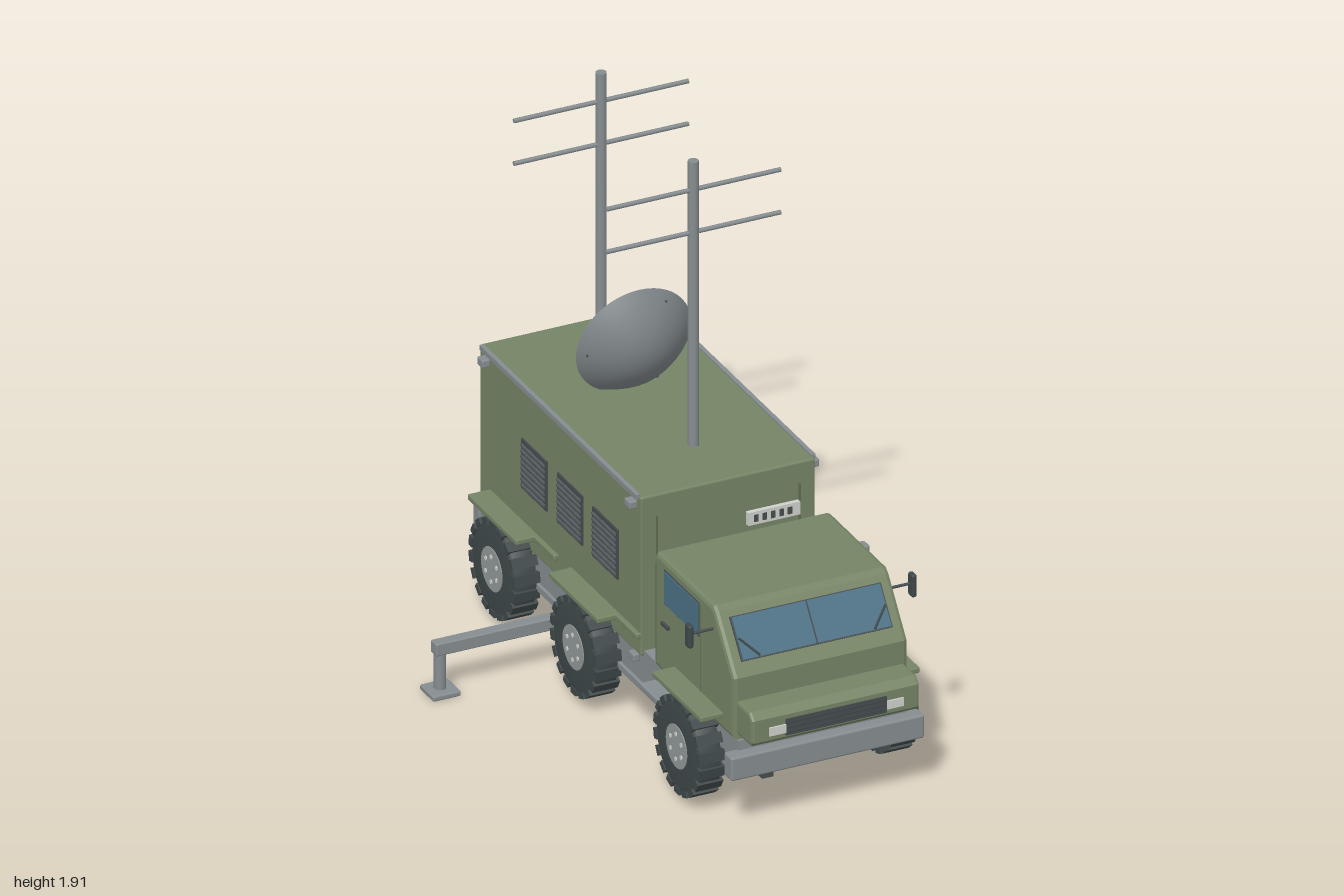
import * as THREE from 'three';
import { RoundedBoxGeometry } from 'three/addons/geometries/RoundedBoxGeometry.js';

const mat = (name, color, side = THREE.FrontSide) => {
  const m = new THREE.MeshStandardMaterial({ color, side });
  m.name = name;
  return m;
};

export function createModel() {
  const olive = mat('olive paint', 0x758465);
  const darkOlive = mat('dark olive', 0x5f6b50);
  const steel = mat('steel grey', 0x868d90);
  const dishGrey = mat('dish grey', 0x7e8588, THREE.DoubleSide);
  const rubber = mat('rubber', 0x3f4849);
  const dark = mat('dark metal', 0x464c4f);
  const louvreGrey = mat('louvre grey', 0x585e61);
  const rimGrey = mat('rim grey', 0x929899);
  const glass = mat('glass', 0x4b7185);
  const lamp = mat('lamp white', 0xcfd1cc);

  const root = new THREE.Group();
  const add = (name, geo, m, x = 0, y = 0, z = 0, parent = root) => {
    const mesh = new THREE.Mesh(geo, m);
    mesh.name = name;
    mesh.position.set(x, y, z);
    parent.add(mesh);
    return mesh;
  };
  // box given by its limits on each axis
  const box = (name, m, [x0, x1], [y0, y1], [z0, z1], r = 0, parent = root) => {
    const s = [x1 - x0, y1 - y0, z1 - z0];
    const geo = r ? new RoundedBoxGeometry(...s, 2, r) : new THREE.BoxGeometry(...s);
    return add(name, geo, m, (x0 + x1) / 2, (y0 + y1) / 2, (z0 + z1) / 2, parent);
  };
  const sideBox = (name, m, [a, b], y, z, r = 0) => {
    box(name + 'Left', m, [a, b], y, z, r);
    box(name + 'Right', m, [-b, -a], y, z, r);
  };
  const rod = (name, m, from, to, r, parent = root, seg = 12) => {
    const a = new THREE.Vector3(...from), d = new THREE.Vector3(...to).sub(a);
    const mesh = add(name, new THREE.CylinderGeometry(r, r, d.length(), seg), m, 0, 0, 0, parent);
    mesh.position.copy(a).addScaledVector(d, 0.5);
    mesh.quaternion.setFromUnitVectors(new THREE.Vector3(0, 1, 0), d.normalize());
    return mesh;
  };
  // side profile of [z, y] points, extruded across x with a small bevel
  const profile = (name, m, pts, width, b) => {
    const shape = new THREE.Shape(pts.map(p => new THREE.Vector2(...p)));
    const geo = new THREE.ExtrudeGeometry(shape, {
      depth: width - 2 * b, bevelEnabled: true, bevelSize: b, bevelThickness: b, bevelOffset: -b, bevelSegments: 2,
    });
    geo.translate(0, 0, b - width / 2);
    geo.rotateY(-Math.PI / 2);
    return add(name, geo, m);
  };

  // Chassis and bumpers
  box('chassis', steel, [-0.3, 0.3], [0.2, 0.32], [-0.96, 0.9]);
  box('underFloor', steel, [-0.29, 0.29], [0.175, 0.2], [-0.96, 0.88]);
  box('frontBumper', steel, [-0.345, 0.345], [0.2, 0.285], [0.885, 0.942], 0.008);
  box('rearBumper', steel, [-0.32, 0.32], [0.205, 0.31], [-1, -0.955], 0.008);
  sideBox('sideRail', steel, [0.29, 0.312], [0.178, 0.2], [-0.97, 0.46]);
  sideBox('step', steel, [0.29, 0.37], [0.25, 0.272], [0.32, 0.47], 0.006);
  for (const s of [-1, 1]) box('towHook', dark, [s * 0.21 - 0.02, s * 0.21 + 0.02], [0.18, 0.2], [0.88, 0.93]);

  // Cab
  profile('cab', olive, [[0.31, 0.32], [0.89, 0.32], [0.89, 0.54], [0.755, 0.72], [0.735, 0.735], [0.325, 0.735], [0.31, 0.72]], 0.625, 0.015);
  profile('nose', olive, [[0.88, 0.34], [0.985, 0.34], [1, 0.355], [1, 0.435], [0.975, 0.458], [0.88, 0.458]], 0.6, 0.01);
  box('grille', dark, [-0.18, 0.18], [0.36, 0.42], [0.997, 1.003]);
  for (let i = 0; i < 3; i++) box('grilleBar', rubber, [-0.17, 0.17], [0.37 + i * 0.017, 0.376 + i * 0.017], [1.002, 1.006]);
  for (const s of [-1, 1]) box('headlight', lamp, [s * 0.21 - 0.03, s * 0.21 + 0.03], [0.372, 0.402], [0.998, 1.006]);

  // Windshield on the sloped face
  const shield = new THREE.Group();
  shield.name = 'windshield';
  shield.position.set(0, 0.642, 0.8165);
  shield.rotation.x = -0.643;
  root.add(shield);
  box('windshieldFrame', dark, [-0.27, 0.27], [-0.075, 0.075], [-0.003, 0.004], 0, shield);
  box('windshieldGlass', glass, [-0.265, 0.265], [-0.071, 0.071], [0, 0.007], 0, shield);
  box('windshieldDivider', dark, [-0.002, 0.002], [-0.072, 0.072], [0.004, 0.01], 0, shield);
  for (const s of [-1, 1]) rod('wiper', rubber, [s * 0.205, -0.068, 0.011], [s * 0.262, 0, 0.011], 0.004, shield, 6);

  // Doors, side windows, mirrors
  for (const s of [-1, 1]) {
    const x = (a, b) => (s > 0 ? [a, b] : [-b, -a]);
    box('windowFrame', dark, x(0.31, 0.315), [0.578, 0.702], [0.388, 0.642]);
    box('sideWindow', glass, x(0.312, 0.318), [0.582, 0.698], [0.392, 0.638]);
    for (const z of [0.325, 0.652]) box('doorSeam', darkOlive, x(0.31, 0.314), [0.34, 0.7], [z - 0.002, z + 0.002]);
    box('doorHandle', dark, x(0.31, 0.322), [0.498, 0.51], [0.375, 0.425]);
    rod('mirrorArm', dark, [s * 0.3, 0.655, 0.74], [s * 0.395, 0.655, 0.74], 0.005, root, 8);
    box('mirror', rubber, x(0.39, 0.408), [0.61, 0.692], [0.725, 0.76], 0.007);
  }

  // Equipment body
  box('equipmentBody', olive, [-0.312, 0.312], [0.3, 0.877], [-0.965, 0.212], 0.008);
  sideBox('roofRail', steel, [0.306, 0.321], [0.864, 0.882], [-0.95, 0.195]);
  for (const z of [0.165, -0.91]) {
    sideBox('markerLamp', steel, [0.31, 0.34], [0.827, 0.855], [z - 0.02, z + 0.02], 0.005);
    sideBox('cornerLock', steel, [0.3, 0.325], [0.27, 0.297], [z - 0.02, z + 0.02], 0.005);
  }
  for (const x of [-0.255, 0.255]) box('frontSeam', darkOlive, [x - 0.003, x + 0.003], [0.34, 0.8], [0.21, 0.216]);
  box('frontVent', lamp, [0.064, 0.25], [0.695, 0.742], [0.21, 0.228]);
  for (let i = 0; i < 5; i++) box('ventSlot', dark, [0.085 + i * 0.03, 0.1 + i * 0.03], [0.706, 0.731], [0.226, 0.231]);

  // Louvred side vents
  for (const z of [-0.04, -0.298, -0.56]) {
    sideBox('louvrePanel', dark, [0.31, 0.318], [0.505, 0.685], [z - 0.092, z + 0.092]);
    for (let i = 0; i < 8; i++) {
      const y = 0.518 + i * 0.0205;
      sideBox('louvreSlat', louvreGrey, [0.314, 0.325], [y, y + 0.008], [z - 0.084, z + 0.084]);
    }
  }

  // Wheels, axles and fenders; the tyre is closed on its inner side
  const tyreProfile = [[0, -0.044], [0.145, -0.044], [0.163, -0.034], [0.163, 0.034], [0.145, 0.044], [0.07, 0.044]]
    .map(p => new THREE.Vector2(...p));
  const tyreGeo = new THREE.LatheGeometry(tyreProfile, 36);
  const rimGeo = new THREE.CylinderGeometry(0.076, 0.076, 0.05, 32);
  const lugGeo = new THREE.BoxGeometry(0.022, 0.092, 0.036);
  const boltGeo = new THREE.CylinderGeometry(0.008, 0.008, 0.008, 10);
  const wheel = (s, z) => {
    const g = new THREE.Group();
    g.name = 'wheel';
    g.position.set(s * 0.346, 0.195, z);
    g.rotation.z = -s * Math.PI / 2;
    root.add(g);
    add('tyre', tyreGeo, rubber, 0, 0, 0, g);
    add('rim', rimGeo, rimGrey, 0, 0.022, 0, g);
    for (let i = 0; i < 18; i++) {
      const a = i * Math.PI / 9;
      add('treadLug', lugGeo, rubber, 0.159 * Math.cos(a), 0, 0.159 * Math.sin(a), g).rotation.y = -a;
    }
    for (let i = 0; i < 6; i++) {
      const a = i * Math.PI / 3;
      add('bolt', boltGeo, lamp, 0.045 * Math.cos(a), 0.046, 0.045 * Math.sin(a), g);
    }
  };
  for (const z of [0.635, -0.12, -0.715]) {
    rod('axle', steel, [-0.32, 0.18, z], [0.32, 0.18, z], 0.024);
    for (const s of [-1, 1]) wheel(s, z);
    sideBox('fender', olive, [0.3, 0.392], [0.364, 0.384], [z - 0.178, z + 0.178], 0.005);
  }
  sideBox('middleTrim', olive, [0.3, 0.328], [0.364, 0.384], [-0.3, 0.21], 0.005);
  sideBox('rearTrim', olive, [0.3, 0.328], [0.364, 0.384], [-0.89, -0.39], 0.005);

  // Outriggers
  sideBox('outriggerBeam', steel, [0.28, 0.775], [0.145, 0.19], [-0.378, -0.336], 0.005);
  for (const s of [-1, 1]) {
    rod('outriggerLeg', steel, [s * 0.752, 0.015, -0.357], [s * 0.752, 0.165, -0.357], 0.02, root, 16);
    box('outriggerFoot', steel, [s * 0.75 - 0.05, s * 0.75 + 0.05], [0, 0.02], [-0.407, -0.307], 0.006);
  }

  // Antenna masts
  for (const z of [-0.043, -0.717]) {
    rod('mast', steel, [0, 0.86, z], [0, 1.91, z], 0.018, root, 16);
    for (const y of [1.65, 1.805]) rod('mastCrossbar', steel, [-0.312, y, z], [0.312, y, z], 0.008, root, 8);
  }

  // Dish, opening to the rear and slightly upward
  const dish = new THREE.Group();
  dish.name = 'dish';
  dish.position.set(0, 1.05, -0.48);
  dish.rotation.x = -1.37;
  root.add(dish);
  const bowl = [];
  for (let i = 0; i <= 12; i++) {
    const r = 0.205 * i / 12;
    bowl.push(new THREE.Vector2(r, -0.105 * (1 - (r / 0.205) ** 2)));
  }
  add('dishBowl', new THREE.LatheGeometry(bowl, 48), dishGrey, 0, 0, 0, dish);
  rod('dishFeed', dark, [0, 0, 0], [0, 0.062, 0], 0.03, dish, 20);
  for (let i = 0; i < 3; i++) {
    const a = Math.PI / 3 + i * Math.PI * 2 / 3, c = Math.cos(a), s = Math.sin(a);
    rod('feedStrut', dark, [0.18 * c, -0.024, 0.18 * s], [0.02 * c, 0.025, 0.02 * s], 0.006, dish, 8);
  }
  return root;
}
